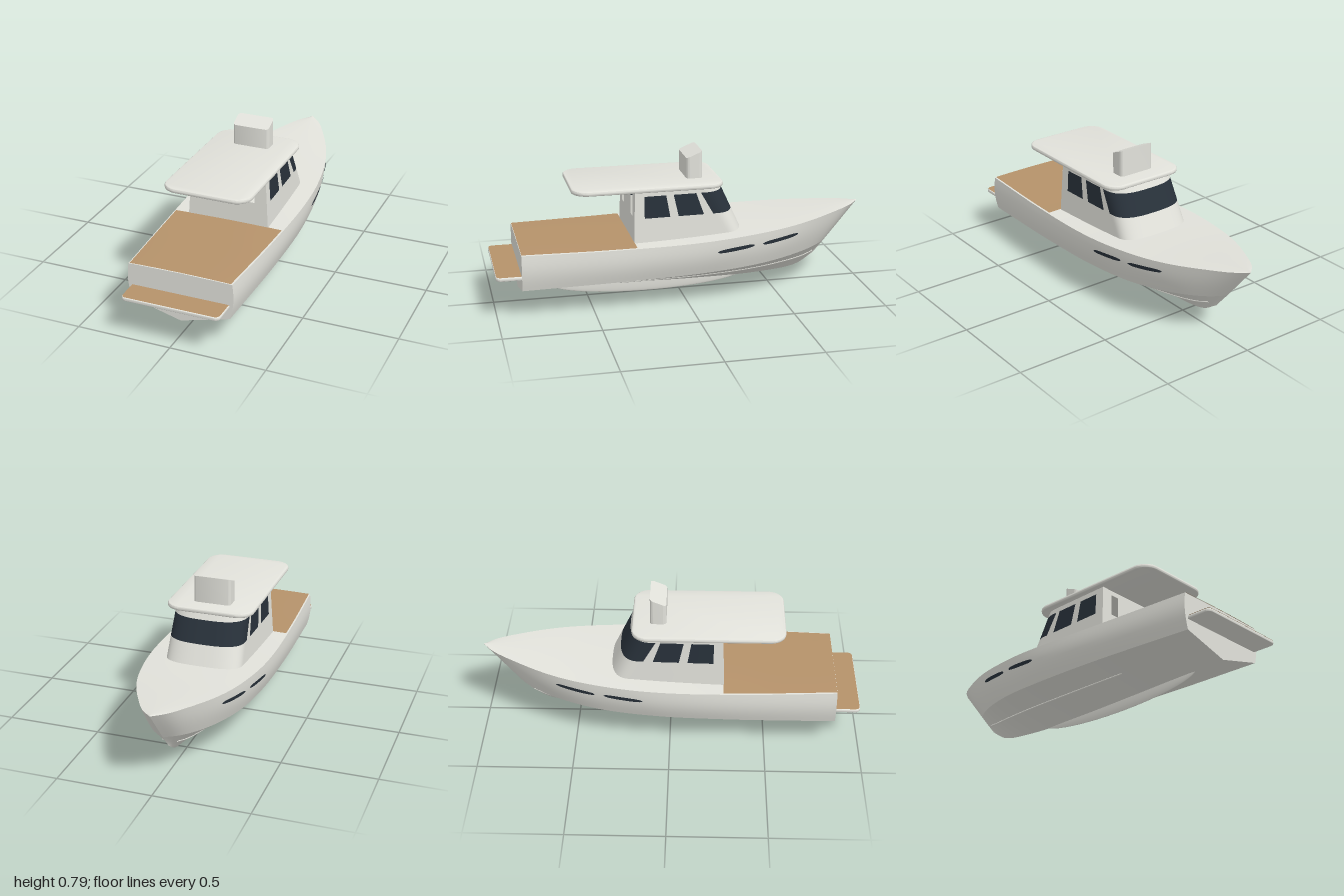
import * as THREE from 'three';
import { toCreasedNormals } from 'three/addons/utils/BufferGeometryUtils.js';

const paint = (name, color) => new THREE.MeshStandardMaterial({ name, color, side: THREE.DoubleSide });
const white = paint('offWhite', 0xe2e2db);
const teak = paint('teak', 0xb5926a);
const glass = paint('darkGlass', 0x28313a);

const lerp = THREE.MathUtils.lerp;
const curve = (pts) => new THREE.CatmullRomCurve3(pts.map((p) => new THREE.Vector3(...p)));

// Hull lines from transom to stem
const keel = curve([[0, 0.08, 0.87], [0, 0.056, 0.3], [0, 0.048, -0.1], [0, 0.056, -0.45], [0, 0.085, -0.66], [0, 0.145, -0.76]]);
const chine = curve([[0.262, 0.15, 0.87], [0.28, 0.165, 0.3], [0.272, 0.176, -0.1], [0.235, 0.192, -0.4],
  [0.155, 0.212, -0.64], [0.07, 0.228, -0.78], [0, 0.235, -0.838]]);
const sheer = curve([[0.275, 0.342, 0.87], [0.3, 0.344, 0.4], [0.31, 0.353, 0], [0.298, 0.366, -0.25],
  [0.255, 0.382, -0.5], [0.205, 0.396, -0.66], [0.13, 0.412, -0.82], [0.06, 0.424, -0.94], [0, 0.43, -1]]);

// Point on the topsides (v = 0 chine, 1 sheer) and on the bottom (v = 0 keel, 1 chine)
function topside(t, v) {
  const p = chine.getPointAt(t).lerp(sheer.getPointAt(t), v);
  p.x += 0.012 * Math.sin(Math.PI * v) * (1 - t ** 6);
  return p;
}
const bottom = (t, v) => keel.getPointAt(t).lerp(chine.getPointAt(t), v);

// Finds the point of the topsides at a given z
function topsideAt(z, v) {
  let lo = 0, hi = 1;
  for (let i = 0; i < 24; i++) {
    const mid = (lo + hi) / 2;
    if (topside(mid, v).z > z) lo = mid; else hi = mid;
  }
  return topside(lo, v);
}

// Surface over a (u, v) grid
function patch(name, nu, nv, fn, material) {
  const pos = [], index = [];
  for (let i = 0; i <= nu; i++) {
    for (let j = 0; j <= nv; j++) {
      pos.push(...fn(i / nu, j / nv).toArray());
      if (i < nu && j < nv) {
        const a = i * (nv + 1) + j, b = a + nv + 1;
        index.push(a, b, a + 1, b, b + 1, a + 1);
      }
    }
  }
  const geo = new THREE.BufferGeometry();
  geo.setAttribute('position', new THREE.Float32BufferAttribute(pos, 3));
  geo.setIndex(index);
  geo.computeVertexNormals();
  const mesh = new THREE.Mesh(geo, material);
  mesh.name = name;
  return mesh;
}

// Rounded rectangle in plan
function plan(w, z0, z1, r) {
  const s = new THREE.Shape(), a = -z1, b = -z0, H = Math.PI / 2;
  s.absarc(w - r, a + r, r, -H, 0);
  s.absarc(w - r, b - r, r, 0, H);
  s.absarc(r - w, b - r, r, H, 2 * H);
  s.absarc(r - w, a + r, r, 2 * H, 3 * H);
  return s.closePath();
}

// Rounded slab lying flat
function slab(name, w, z0, z1, y0, y1, r, bevel) {
  const geo = new THREE.ExtrudeGeometry(plan(w - bevel, z0 + bevel, z1 - bevel, r), {
    depth: y1 - y0 - 2 * bevel, bevelEnabled: bevel > 0, bevelSize: bevel,
    bevelThickness: bevel, bevelSegments: 4, curveSegments: 10,
  });
  geo.rotateX(-Math.PI / 2).translate(0, y0 + bevel, 0);
  const mesh = new THREE.Mesh(toCreasedNormals(geo, 0.7), white);
  mesh.name = name;
  return mesh;
}

function buildHull() {
  const hull = new THREE.Group();
  hull.name = 'hull';
  for (const s of [1, -1]) {
    const side = (p) => { p.x *= s; return p; };
    hull.add(patch('topside', 64, 8, (u, v) => side(topside(u, v)), white));
    hull.add(patch('bottom', 64, 6, (u, v) => side(bottom(u, v)), white));
    // Spray rail
    const rail = [];
    for (let i = 0; i <= 16; i++) rail.push(side(bottom(lerp(0.3, 0.95, i / 16), 0.55)));
    const tube = new THREE.Mesh(new THREE.TubeGeometry(new THREE.CatmullRomCurve3(rail), 40, 0.005, 6), white);
    tube.name = 'sprayRail';
    hull.add(tube);
    // Long hull windows
    for (const [z0, z1, mid] of [[-0.14, -0.345, 0.665], [-0.39, -0.6, 0.69]]) {
      hull.add(patch('hullWindow', 24, 4, (u, v) => {
        const half = 0.056 * Math.sqrt(1 - Math.abs(2 * u - 1) ** 4);
        const p = topsideAt(lerp(z0, z1, u), mid + 0.04 * (u - 0.5) + half * (2 * v - 1));
        p.x += 0.004;
        return side(p);
      }, glass));
    }
  }

  // Transom
  const outline = [new THREE.Vector2(0, 0.08)];
  for (let i = 0; i <= 8; i++) { const p = topside(0, i / 8); outline.push(new THREE.Vector2(p.x, p.y)); }
  outline.push(new THREE.Vector2(0, 0.346));
  const mirrored = outline.slice(1, -1).reverse().map((p) => new THREE.Vector2(-p.x, p.y));
  const transom = new THREE.Mesh(new THREE.ShapeGeometry(new THREE.Shape([...outline, ...mirrored])), white);
  transom.position.z = 0.87;
  transom.name = 'transom';
  hull.add(transom);

  // Deck and teak cockpit sole
  const across = (p, v, scale, lift) => {
    const k = 2 * v - 1;
    return new THREE.Vector3(p.x * k * scale, p.y + lift + 0.004 * (1 - k * k), p.z);
  };
  hull.add(patch('deck', 64, 8, (u, v) => across(sheer.getPointAt(u), v, 1, 0), white));
  hull.add(patch('teakDeck', 16, 8, (u, v) => across(topsideAt(lerp(0.869, 0.28, u), 1), v, 0.975, 0.003), teak));

  // Keel fin
  const fin = new THREE.Mesh(new THREE.SphereGeometry(1, 32, 24), white);
  fin.scale.set(0.009, 0.08, 0.53);
  fin.position.set(0, 0.08, 0.17);
  fin.name = 'keelFin';
  hull.add(fin);
  return hull;
}

function buildCabin() {
  const cabin = new THREE.Group();
  cabin.name = 'cabin';
  const rows = [0.33, 0.475, 0.59, 0.63];
  // Upright edges along each side: z at the sill, and lean
  const edges = [[0.278, -0.03], [0.225, 0], [0.09, 0.17], [0.045, 0.22], [-0.09, 0.35], [-0.14, 0.565]];
  const edgeZ = ([z, lean], y) => z + lean * (y - 0.475);
  const halfWidth = (y, z) => (0.222 - 0.062 * (y - 0.345)) * (1 - 0.13 * (0.28 - z));

  for (let r = 0; r < 3; r++) {
    const height = (v) => lerp(rows[r], rows[r + 1], v);
    // Side walls and side windows
    for (const s of [1, -1]) {
      for (let e = 0; e < 5; e++) {
        const isWindow = r === 1 && (e === 1 || e === 3);
        cabin.add(patch(isWindow ? 'sideWindow' : 'sideWall', 2, 2, (u, v) => {
          const y = height(v), z = lerp(edgeZ(edges[e], y), edgeZ(edges[e + 1], y), u);
          return new THREE.Vector3(s * halfWidth(y, z), y, z);
        }, isWindow ? glass : white));
      }
    }
    // Wraparound front with windshield
    cabin.add(patch(r === 1 ? 'windshield' : 'frontWall', 40, 3, (u, v) => {
      const y = height(v), z0 = edgeZ(edges[5], y), zF = -0.264 + 0.46 * (y - 0.475);
      const c = Math.cos(u * Math.PI), k = Math.max(0, Math.sin(u * Math.PI));
      return new THREE.Vector3(Math.sign(c) * Math.abs(c) ** 0.7 * halfWidth(y, z0), y, lerp(z0, zF, k ** 0.7));
    }, r === 1 ? glass : white));
  }

  // Aft wall with two openings
  const poly = (pts, Type) => new Type(pts.map(([x, y]) => new THREE.Vector2(x, y)));
  const wb = halfWidth(0.33, 0.28), wt = halfWidth(0.63, 0.275);
  const wall = poly([[-wb, 0.33], [wb, 0.33], [wt, 0.63], [-wt, 0.63]], THREE.Shape);
  for (const s of [1, -1]) {
    wall.holes.push(poly([[s * 0.098, 0.475], [s * 0.147, 0.475], [s * 0.142, 0.59], [s * 0.093, 0.59]], THREE.Path));
  }
  const geo = new THREE.ShapeGeometry(wall), pos = geo.attributes.position;
  for (let i = 0; i < pos.count; i++) pos.setZ(i, edgeZ(edges[0], pos.getY(i)));
  geo.computeVertexNormals();
  const aft = new THREE.Mesh(geo, white);
  aft.name = 'aftWall';
  cabin.add(aft);

  cabin.add(slab('roof', 0.234, -0.2, 0.596, 0.617, 0.641, 0.075, 0.009));
  return cabin;
}

export function createModel() {
  const boat = new THREE.Group();
  boat.name = 'motorBoat';
  boat.add(buildHull(), buildCabin());

  // Roof housing with sloping top
  const housing = slab('roofHousing', 0.1, -0.107, -0.022, 0.635, 0.75, 0.018, 0);
  const pos = housing.geometry.attributes.position;
  for (let i = 0; i < pos.count; i++) {
    if (pos.getY(i) > 0.7) pos.setY(i, 0.75 + 0.412 * (-0.022 - pos.getZ(i)));
  }
  housing.geometry = toCreasedNormals(housing.geometry, 0.7);
  boat.add(housing);

  // Swim platform with teak top
  boat.add(slab('swimPlatform', 0.26, 0.84, 1, 0.207, 0.226, 0.022, 0.005));
  const top = new THREE.Mesh(new THREE.ShapeGeometry(plan(0.257, 0.84, 0.997, 0.024)), teak);
  top.rotation.x = -Math.PI / 2;
  top.position.y = 0.2275;
  top.name = 'platformTeak';
  boat.add(top);
  return boat;
}
